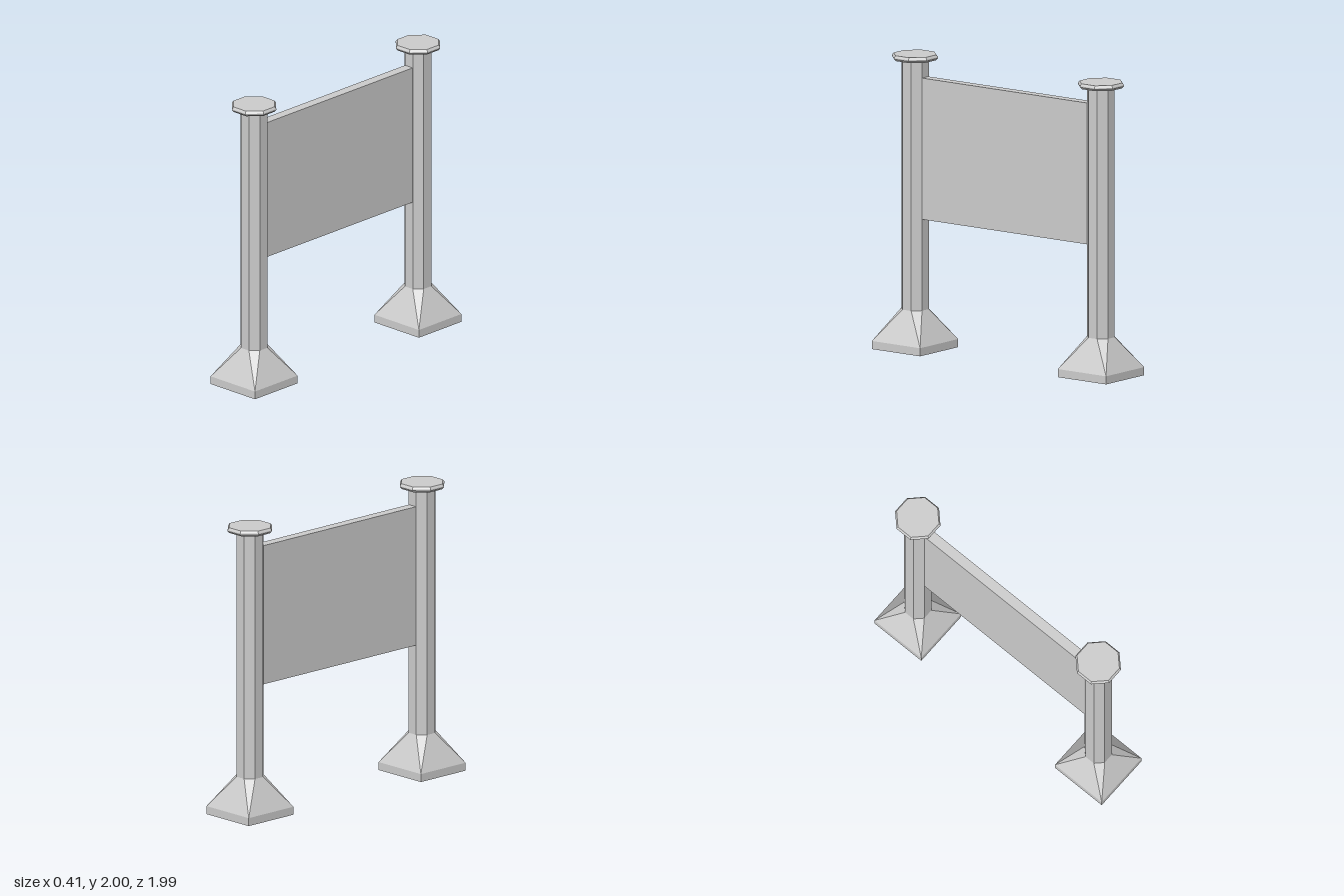
import * as THREE from 'three';
import { ConvexGeometry } from 'three/addons/geometries/ConvexGeometry.js';

const POST_Z = 0.79;       // distance of each post from the centre
const POST_HALF = 0.088;   // half width of the post, flat to flat
const BASE_HALF = 0.205;
const BASE_RIM = 0.055;
const BASE_TOP = 0.27;
const HEIGHT = 2;

const material = new THREE.MeshStandardMaterial({ color: 0xcccccc, flatShading: true });

function part(name, geometry, y = 0) {
  const mesh = new THREE.Mesh(geometry, material);
  mesh.name = name;
  mesh.position.y = y;
  return mesh;
}

// Corner radius of an octagon from its flat-to-flat half width
const cornerRadius = (half) => half / Math.cos(Math.PI / 8);

// Eight-sided solid of revolution with flats facing the axes
function octagonal(profile) {
  const points = profile.map(([half, y]) => new THREE.Vector2(cornerRadius(half), y));
  return new THREE.LatheGeometry(points, 8, Math.PI / 8);
}

// Square plinth that tapers into the octagonal post
function footGeometry() {
  const points = [];
  for (const y of [0, BASE_RIM]) {
    for (const sx of [-1, 1]) {
      for (const sz of [-1, 1]) points.push(new THREE.Vector3(sx * BASE_HALF, y, sz * BASE_HALF));
    }
  }
  const r = cornerRadius(POST_HALF);
  for (let i = 0; i < 8; i++) {
    const a = Math.PI / 8 + (i * Math.PI) / 4;
    points.push(new THREE.Vector3(r * Math.sin(a), BASE_TOP, r * Math.cos(a)));
  }
  return new ConvexGeometry(points);
}

function createPost(name) {
  const post = new THREE.Group();
  post.name = name;
  post.add(part('foot', footGeometry()));
  post.add(part('shaft', octagonal([[POST_HALF, BASE_TOP], [POST_HALF, HEIGHT - 0.03]])));
  // Thin cap with bevelled rim
  post.add(part('cap', octagonal([
    [0, 0], [0.135, 0], [0.147, 0.014], [0.147, 0.022], [0.137, 0.037], [0, 0.037],
  ]), HEIGHT - 0.037));
  return post;
}

export function createModel() {
  const model = new THREE.Group();
  model.name = 'postedPanel';

  for (const [name, side] of [['frontPost', 1], ['backPost', -1]]) {
    const post = createPost(name);
    post.position.z = side * POST_Z;
    model.add(post);
  }

  // Flat board held between the posts
  const length = 2 * (POST_Z - POST_HALF);
  model.add(part('panel', new THREE.BoxGeometry(0.07, 0.96, length), 1.37));

  return model;
}
